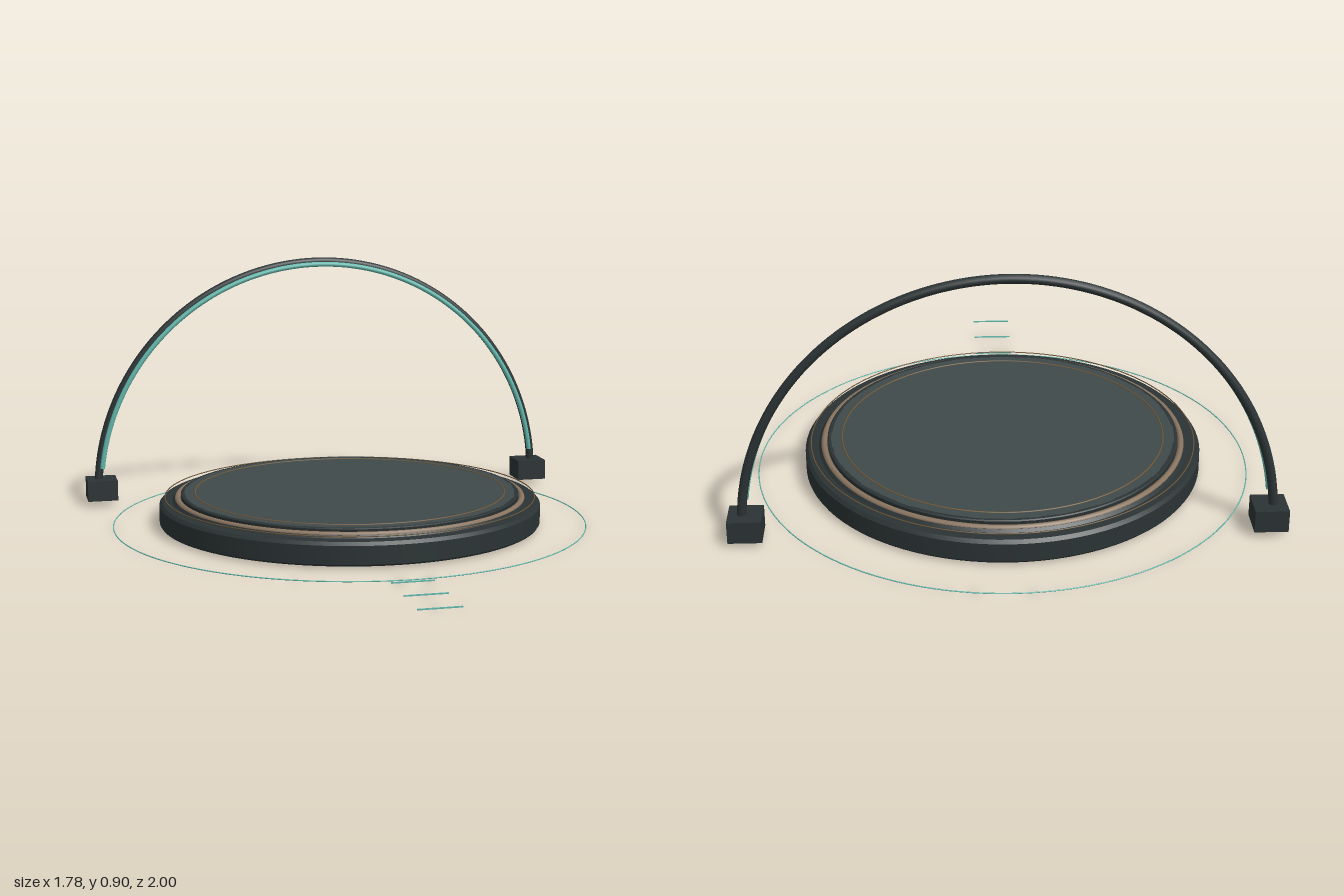
import * as THREE from 'three';
import { toCreasedNormals } from 'three/addons/utils/BufferGeometryUtils.js';

const material = (color) => new THREE.MeshStandardMaterial({ color });

export function createModel() {
  const model = new THREE.Group();
  model.name = 'archPlatform';
  const dark = material(0x2b3334);
  const slate = material(0x3f4a4b);
  const tan = material(0x8a7560);
  const bronze = material(0x6b5638);
  const teal = material(0x62b8ac);

  const add = (parent, name, geometry, mat, x = 0, y = 0, z = 0) => {
    const mesh = new THREE.Mesh(geometry, mat);
    mesh.name = name;
    mesh.position.set(x, y, z);
    parent.add(mesh);
    return mesh;
  };

  // Round platform and everything concentric with it
  const platform = new THREE.Group();
  platform.name = 'platform';
  platform.position.z = -0.16;
  model.add(platform);

  const lathe = (points) => toCreasedNormals(
    new THREE.LatheGeometry(points.map(([r, y]) => new THREE.Vector2(r, y)), 96), 0.5);
  add(platform, 'base', lathe([
    [0, 0.008], [0.672, 0.008], [0.676, 0.014], [0.676, 0.076], [0.666, 0.087],
    [0.63, 0.089], [0.622, 0.098], [0, 0.098],
  ]), dark);
  add(platform, 'deckRim', lathe([[0.598, 0.096], [0.6, 0.112], [0.596, 0.115], [0.585, 0.115]]), dark);
  add(platform, 'deck', lathe([[0.59, 0.1], [0.588, 0.115], [0, 0.115]]), slate);

  // Flat-lying rings: name, radius, thickness, height, material
  const rings = [
    ['trimRing', 0.611, 0.011, 0.096, tan],
    ['outerInlayRing', 0.656, 0.002, 0.102, bronze],
    ['innerInlayRing', 0.55, 0.003, 0.115, bronze],
    ['floorRing', 0.838, 0.002, 0.004, teal],
  ];
  for (const [name, radius, tube, y, mat] of rings) {
    add(platform, name, new THREE.TorusGeometry(radius, tube, 8, 128).rotateX(Math.PI / 2), mat, 0, y);
  }

  // Arch with a light strip on its front inner edge
  const arch = new THREE.Group();
  arch.name = 'arch';
  arch.position.set(0, 0.04, -0.65);
  model.add(arch);
  add(arch, 'archTube', new THREE.TorusGeometry(0.849, 0.015, 12, 96, Math.PI), dark);
  const start = 0.115;
  const strip = add(arch, 'lightStrip',
    new THREE.TorusGeometry(0.84, 0.009, 10, 96, Math.PI - 2 * start), teal, 0, 0, 0.022);
  strip.rotation.z = start;

  // Arch feet
  for (const side of [-1, 1]) {
    add(model, side > 0 ? 'leftFoot' : 'rightFoot',
      new THREE.BoxGeometry(0.11, 0.075, 0.11), dark, side * 0.837, 0.057, -0.65);
  }

  // Approach marks on the floor
  for (let i = 0; i < 3; i++) {
    add(model, 'approachMark', new THREE.BoxGeometry(0.14, 0.004, 0.005), teal, 0, 0.003, 0.6975 + i * 0.15);
  }
  return model;
}
